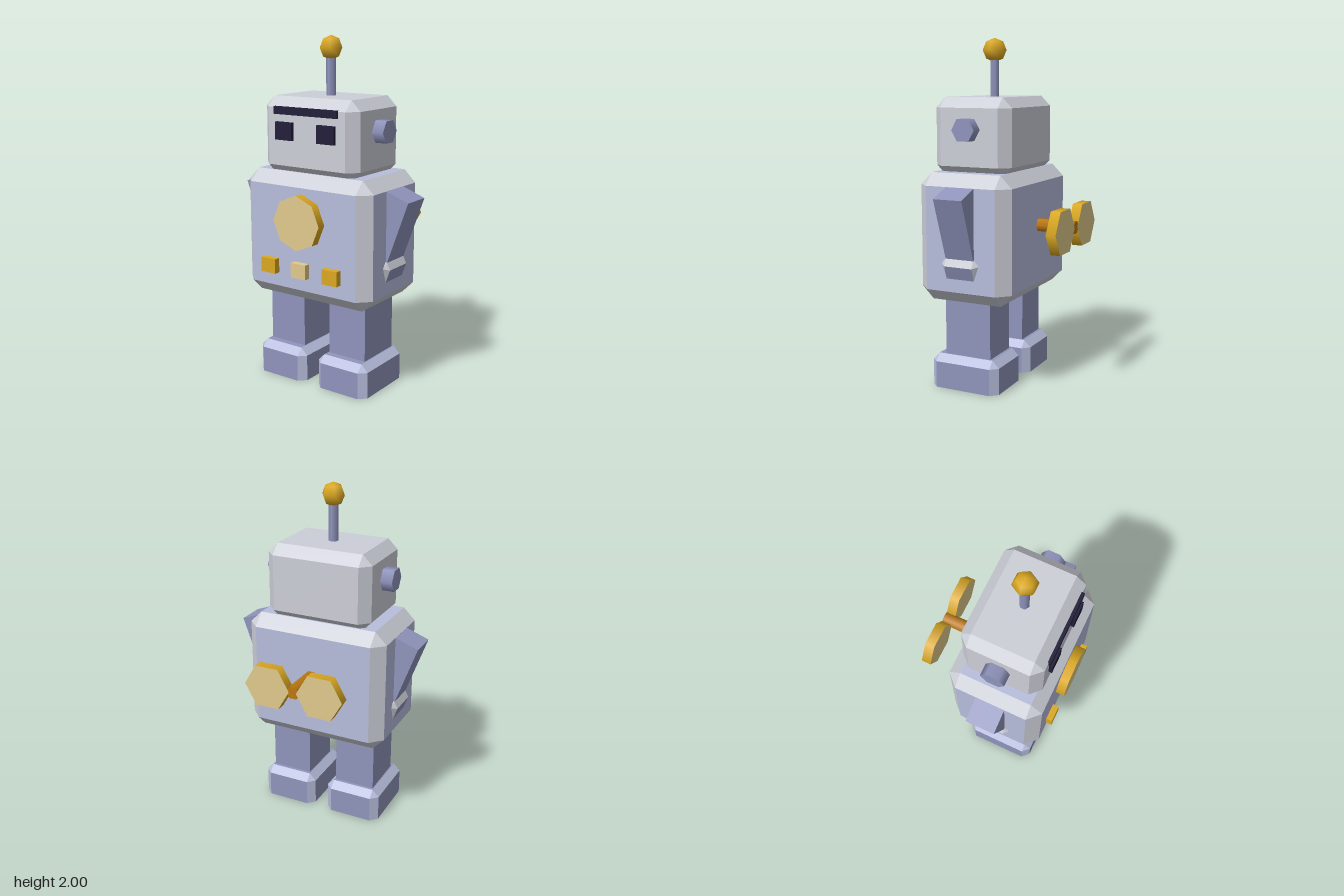
import * as THREE from 'three';

const flat = (name, color) => {
  const m = new THREE.MeshStandardMaterial({ color });
  m.name = name;
  return m;
};

// Box centred on its origin with chamfered edges; group 0 = flat faces, group 1 = chamfers.
function chamferBox(w, h, d, b, flatBottom = false) {
  const half = [w / 2, h / 2, d / 2];
  const signs = [-1, 1];
  // corner point lying on the face of the given axis
  const point = (s, axis) => new THREE.Vector3(...half.map((v, i) => {
    const inset = i === axis || (flatBottom && i === 1 && s[1] < 0) ? 0 : b;
    return s[i] * (v - inset);
  }));
  const parts = [[], []];
  const addPolygon = (pts) => {
    const n = new THREE.Vector3().crossVectors(
      pts[1].clone().sub(pts[0]), pts[2].clone().sub(pts[0])).normalize();
    if (n.dot(pts[0]) < 0) pts.reverse();
    const out = parts[Math.max(Math.abs(n.x), Math.abs(n.y), Math.abs(n.z)) > 0.99 ? 0 : 1];
    for (let i = 1; i < pts.length - 1; i++) {
      for (const p of [pts[0], pts[i], pts[i + 1]]) out.push(p.x, p.y, p.z);
    }
  };
  for (let a = 0; a < 3; a++) {
    const u = (a + 1) % 3, v = (a + 2) % 3;
    const at = (sa, su, sv) => { const s = []; s[a] = sa; s[u] = su; s[v] = sv; return s; };
    for (const s of signs) {
      // main face
      addPolygon([[-1, -1], [1, -1], [1, 1], [-1, 1]].map(([p, q]) => point(at(s, p, q), a)));
      // chamfers running along this axis
      for (const t of signs) {
        addPolygon([point(at(-1, s, t), u), point(at(1, s, t), u),
          point(at(1, s, t), v), point(at(-1, s, t), v)]);
      }
    }
  }
  // corner triangles
  for (const x of signs) for (const y of signs) for (const z of signs) {
    addPolygon([0, 1, 2].map((a) => point([x, y, z], a)));
  }
  const g = new THREE.BufferGeometry();
  g.setAttribute('position', new THREE.Float32BufferAttribute(parts.flat(), 3));
  g.addGroup(0, parts[0].length / 3, 0);
  g.addGroup(parts[0].length / 3, parts[1].length / 3, 1);
  g.computeVertexNormals();
  return g;
}

// Cylinder along z with corners on the x axis
const zCylinder = (r, length, sides) =>
  new THREE.CylinderGeometry(r, r, length, sides).rotateY(Math.PI / 2).rotateX(Math.PI / 2);

export function createModel() {
  const robot = new THREE.Group();
  robot.name = 'robot';

  const grey = flat('light grey', 0xcdcfd8);
  const blue = flat('pale blue', 0xb8bedd);
  const purple = flat('dusty purple', 0x9094bc);
  const gold = flat('gold', 0xdaa822);
  const pale = flat('pale gold', 0xe0ca8c);
  const orange = flat('dark amber', 0xbd790f);
  const dark = flat('dark navy', 0x211e3a);

  const add = (name, geometry, material, x, y, z, parent = robot) => {
    const m = new THREE.Mesh(geometry, material);
    m.name = name;
    m.position.set(x, y, z);
    parent.add(m);
    return m;
  };
  const box = (w, h, d) => new THREE.BoxGeometry(w, h, d);

  // Torso and head
  add('torso', chamferBox(0.86, 0.73, 0.57, 0.07), [blue, grey], 0, 0.885, 0.087);
  add('head', chamferBox(0.64, 0.442, 0.475, 0.058), [grey, grey], 0, 1.446, 0.087);

  // Face
  add('brow', box(0.43, 0.043, 0.03), dark, 0, 1.593, 0.322);
  for (const s of [-1, 1]) add('eye', box(0.115, 0.1, 0.04), dark, s * 0.143, 1.48, 0.325);

  // Antenna
  add('antennaRod', new THREE.CylinderGeometry(0.028, 0.028, 0.24, 6), purple, 0, 1.77, 0.087);
  add('antennaBall', new THREE.SphereGeometry(0.069, 6, 4), gold, 0, 1.931, 0.087);

  // Chest dial and buttons
  add('chestDial', zCylinder(0.157, 0.075, 8), [gold, pale, pale], 0, 0.99, 0.387);
  [gold, pale, gold].forEach((m, i) =>
    add('button', box(0.1, 0.085, 0.06), m, (i - 1) * 0.214, 0.712, 0.38));

  // Wind-up key
  add('keyShaft', zCylinder(0.04, 0.25, 6), orange, 0, 0.932, -0.303);
  for (const s of [-1, 1]) {
    add('keyWing', zCylinder(0.14, 0.058, 6), [gold, pale, pale], s * 0.162, 0.932, -0.4);
  }

  // Mirrored parts
  const earGeometry = new THREE.CylinderGeometry(0.07, 0.07, 0.1, 6).rotateZ(Math.PI / 2);
  const footGeometry = chamferBox(0.34, 0.195, 0.425, 0.041, true);
  const handGeometry = chamferBox(0.236, 0.17, 0.24, 0.034, true);
  for (const s of [-1, 1]) {
    add('ear', earGeometry, purple, s * 0.341, 1.49, 0.087);
    add('leg', box(0.245, 0.4, 0.285), purple, s * 0.213, 0.37, 0.092);
    add('foot', footGeometry, [purple, blue], s * 0.213, 0.0975, 0.104);

    // Arm hangs from its outer top edge and leans into the torso
    const arm = new THREE.Group();
    arm.name = s > 0 ? 'leftArm' : 'rightArm';
    arm.position.set(s * 0.565, 1.13, 0.087);
    arm.rotation.z = -s * THREE.MathUtils.degToRad(20);
    robot.add(arm);
    add('upperArm', box(0.172, 0.42, 0.174), purple, -s * 0.086, -0.21, 0, arm);
    add('hand', handGeometry, [purple, grey], -s * 0.086, -0.455, 0, arm);
  }
  return robot;
}
